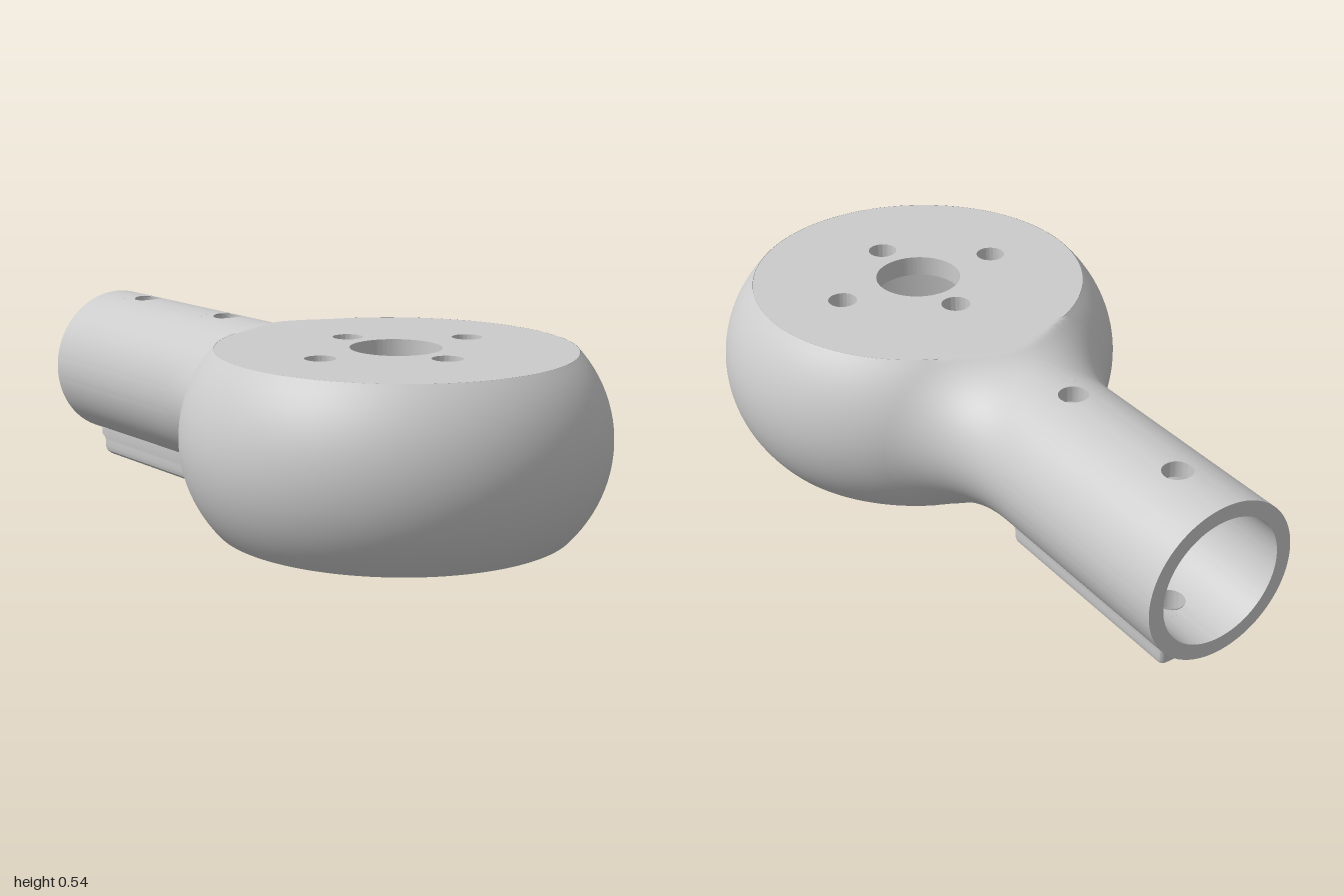
import * as THREE from 'three';
import { toCreasedNormals } from 'three/addons/utils/BufferGeometryUtils.js';

const MID = 0.29, HALF = 0.245;          // axis height, half height of the head
const CX = 0.41, RING = 0.23, ARC = 0.358; // head centre and its barrel profile
const CUP = 0.49, RECESS = 0.37, CEIL = 0.42, PLATE = 0.475;
const TUBE = 0.23, BORE = 0.185, JOIN = -0.03;
const HOLE = 0.042, PATCH = 0.06, PATCH_ANGLE = Math.PI / 12;
const HOLE_XS = [-0.81, -0.37];

const material = new THREE.MeshStandardMaterial({ color: 0xcccccc, side: THREE.DoubleSide });
const { sin, cos, sqrt, asin, acos, abs, max, min, PI } = Math;
const lerp = THREE.MathUtils.lerp, clamp = THREE.MathUtils.clamp;
const range = (a, b, n) => Array.from({ length: n + 1 }, (_, i) => lerp(a, b, i / n));

// Triangles of a surface fn(u, v) sampled on two lists of stations
function grid(fn, us, vs, skip = () => false) {
  const out = [];
  for (let i = 0; i < us.length - 1; i++) {
    for (let j = 0; j < vs.length - 1; j++) {
      if (skip((us[i] + us[i + 1]) / 2, (vs[j] + vs[j + 1]) / 2)) continue;
      const a = fn(us[i], vs[j]), b = fn(us[i + 1], vs[j]);
      const c = fn(us[i + 1], vs[j + 1]), d = fn(us[i], vs[j + 1]);
      out.push(...a, ...b, ...c, ...a, ...c, ...d);
    }
  }
  return out;
}

function surface(positions) {
  const g = new THREE.BufferGeometry();
  g.setAttribute('position', new THREE.Float32BufferAttribute(positions, 3));
  return toCreasedNormals(g, 0.5);
}

// Head radius measured from the tube axis at station x in direction t
function headRadius(x, t) {
  let lo = 0, hi = 0.8;
  for (let i = 0; i < 40; i++) {
    const r = (lo + hi) / 2;
    const d = Math.hypot(Math.hypot(x - CX, r * cos(t)) - RING, r * sin(t));
    if (d < ARC) lo = r; else hi = r;
  }
  return lo;
}

// Outside of the tube, flaring smoothly into the head
function outerPoint(x, t) {
  const start = -0.4 + 0.2 * sin(t) ** 2;
  let r = TUBE;
  if (x > start) {
    const len = JOIN - start, s = (x - start) / len;
    const slope = (headRadius(JOIN + 0.002, t) - headRadius(JOIN - 0.002, t)) / 0.004;
    r = TUBE + (headRadius(JOIN, t) - TUBE) * (3 * s * s - 2 * s ** 3) + slope * len * (s ** 3 - s * s);
  }
  const y = clamp(r * sin(t), -HALF, HALF), z = r * cos(t);
  // keep the underside clear of the cup opening
  if (y === -HALF && abs(z) < CUP) x = min(x, CX - sqrt(CUP * CUP - z * z));
  return [x, MID + y, z];
}

// Inside of the tube, ending on the cup wall or the ceiling recess
function borePoint(x, t) {
  const y = MID + BORE * sin(t), z = BORE * cos(t);
  if (x > -0.31) {
    const r = y > CEIL ? RECESS : CUP;
    x = lerp(-0.31, CX - sqrt(r * r - z * z), (x + 0.31) / (JOIN + 0.31));
  }
  return [x, y, z];
}

// Tube skin with round screw holes at top and bottom
function drilledSkin(point, radius) {
  const xs = [-1, -0.87, -0.75, -0.43, -0.4, -0.37, -0.34, ...range(-0.31, JOIN, 24)];
  const sides = [PI / 2, 3 * PI / 2];
  const out = grid(point, xs, range(0, 2 * PI, 144), (x, t) =>
    HOLE_XS.some(h => abs(x - h) < PATCH) && sides.some(s => abs(t - s) < PATCH_ANGLE));
  for (const h of HOLE_XS) for (const s of sides) {
    out.push(...grid((k, a) => {
      const m = max(abs(cos(a)), abs(sin(a)));
      return point(h + lerp(HOLE * cos(a), PATCH * cos(a) / m, k),
        s + lerp(asin(HOLE * sin(a) / radius), PATCH_ANGLE * sin(a) / m, k));
    }, [0, 0.5, 1], range(0, 2 * PI, 32)));
  }
  return out;
}

function circle(x, y, r) {
  return new THREE.Path().absarc(x, y, r, 0, 2 * PI, false);
}

function slab(shape, y0, y1) {
  const g = new THREE.ExtrudeGeometry(shape, { depth: y1 - y0, bevelEnabled: false, curveSegments: 64 });
  return toCreasedNormals(g.rotateX(-PI / 2).translate(CX, y0, 0), 0.5);
}

// Corner points of a rounded rectangle, six per corner
function roundedRect(hx, hz, r) {
  return [[1, 1], [-1, 1], [-1, -1], [1, -1]].flatMap(([sx, sz], q) =>
    range(q * PI / 2, (q + 1) * PI / 2, 5).map(a =>
      new THREE.Vector2(sx * (hx - r) + r * cos(a), sz * (hz - r) + r * sin(a))));
}

export function createModel() {
  const group = new THREE.Group();
  const add = (name, geometry) => {
    const mesh = new THREE.Mesh(geometry, material);
    mesh.name = name;
    group.add(mesh);
    return mesh;
  };

  // Tube
  add('tubeAndNeck', surface(drilledSkin(outerPoint, TUBE)));
  add('tubeBore', surface(drilledSkin(borePoint, BORE)));
  add('tubeEndRing', new THREE.RingGeometry(BORE, TUBE, 144).rotateY(-PI / 2).translate(-1, MID, 0));

  // Bulging side of the head, starting where the neck ends
  const vMax = asin(HALF / ARC);
  add('headSide', surface(grid((s, v) => {
    const r = RING + ARC * cos(v), a0 = acos((CX - JOIN) / r);
    const a = lerp(a0, 2 * PI - a0, s);
    return [CX - r * cos(a), MID + ARC * sin(v), r * sin(a)];
  }, range(0, 1, 120), range(-vMax, vMax, 24))));

  // Top plate with shaft hole and four screw holes
  const chord = acos((CX - JOIN) / CUP);
  const top = new THREE.Shape().absarc(0, 0, CUP, -PI + chord, PI - chord, false);
  top.holes.push(circle(0, 0, 0.125));
  for (const [x, z] of [[0.205, 0], [-0.205, 0], [0, 0.26], [0, -0.26]]) top.holes.push(circle(x, z, HOLE));
  add('topPlate', slab(top, PLATE, MID + HALF));

  // Stepped ceiling ring, notched where the bore runs through it
  const notch = sqrt(BORE ** 2 - (CEIL - MID) ** 2);
  const ao = asin(notch / CUP), ai = asin(notch / RECESS);
  const ring = new THREE.Shape()
    .absarc(0, 0, CUP, -PI + ao, PI - ao, false)
    .absarc(0, 0, RECESS, PI - ai, -PI + ai, true);
  add('ceilingRing', slab(ring, CEIL, PLATE));

  // Cup wall with the opening of the bore
  const ab = asin(BORE / CUP), base = MID - HALF;
  const wall = (lower, upper) => (a, k) => {
    const z = CUP * sin(a), h = sqrt(max(0, BORE * BORE - z * z));
    return [CX - CUP * cos(a), lerp(lower(h), upper(h), k), z];
  };
  const open = range(-ab, ab, 32);
  add('cupWall', surface([
    ...grid(wall(() => base, () => CEIL), range(ab, 2 * PI - ab, 110), [0, 1]),
    ...grid(wall(() => base, h => MID - h), open, [0, 1]),
    ...grid(wall(h => min(CEIL, MID + h), () => CEIL), open, [0, 1]),
  ]));

  // Screw pad under the tube: rounded lower edge, flared ends
  const padX = -0.585, hx = 0.335, hz = 0.11;
  const rows = [[-0.025, -0.025, 0], [-0.0125, -0.0125, 0.0033], [-0.0033, -0.0033, 0.0125], [0, 0, 0.025],
    [0, 0, 0.045], [0.005, 0, 0.056], [0.02, 0, 0.064], [0.02, 0, 0.095]];
  const outlines = rows.map(([dx, dz]) => roundedRect(hx + dx, hz + dz, 0.015));
  const count = outlines[0].length;
  add('padSide', surface(grid((i, j) => {
    const p = outlines[i][j % count];
    return [padX + p.x, rows[i][2], p.y];
  }, [...rows.keys()], [...Array(count + 1).keys()])));
  const face = new THREE.Shape(outlines[0]);
  for (const x of HOLE_XS) face.holes.push(circle(x - padX, 0, 0.077));
  add('padFace', new THREE.ShapeGeometry(face, 24).rotateX(PI / 2).translate(padX, 0, 0));

  // Screw holes: plain above, counterbored below
  const lathe = pts => toCreasedNormals(
    new THREE.LatheGeometry(pts.map(p => new THREE.Vector2(...p)), 40), 0.5);
  for (const x of HOLE_XS) {
    add('upperScrewHole', lathe([[HOLE, 0.471], [HOLE, 0.517]])).position.x = x;
    add('lowerScrewHole', lathe([[0.077, 0], [0.077, 0.05], [HOLE, 0.05], [HOLE, 0.108]])).position.x = x;
  }
  return group;
}
